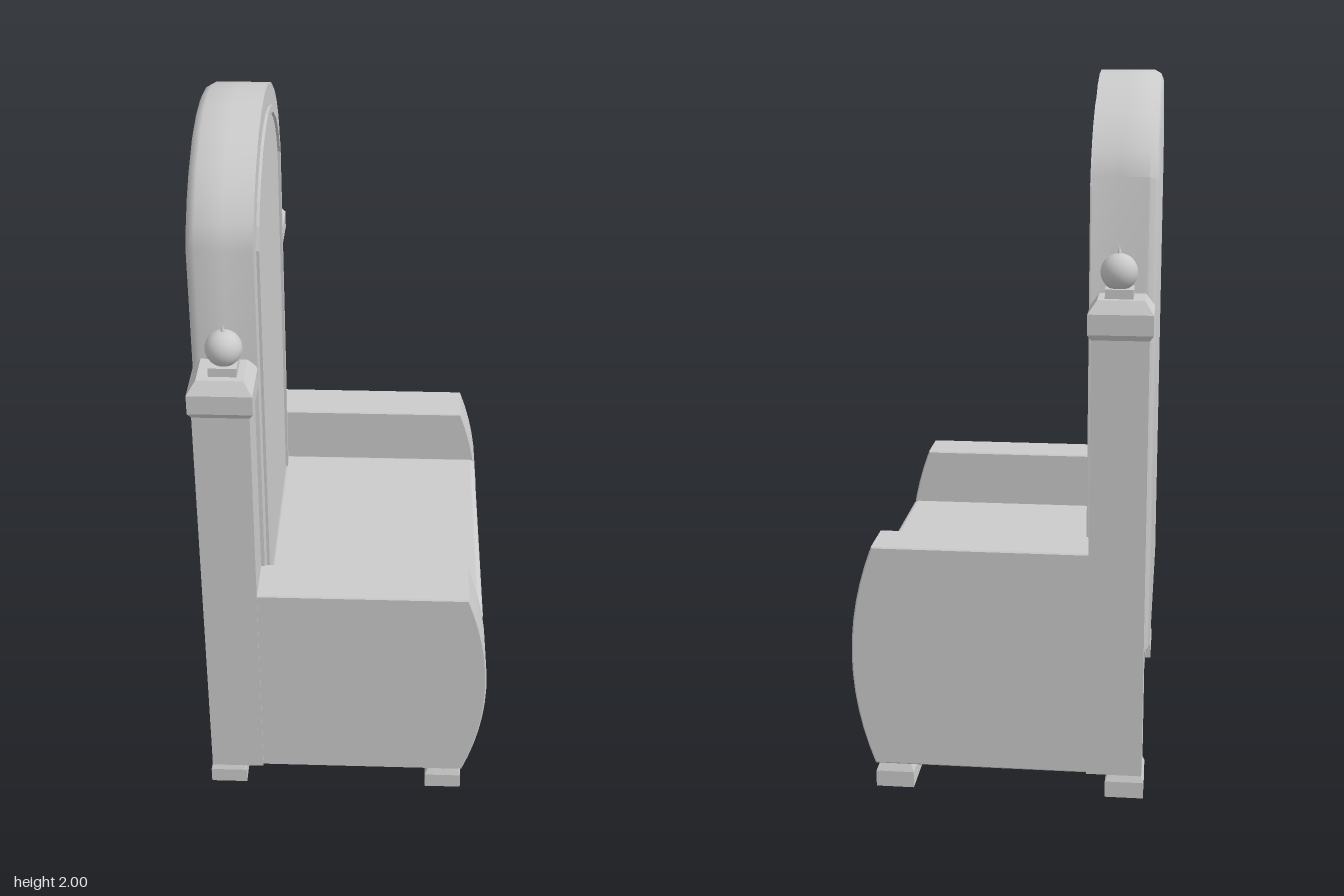
import * as THREE from 'three';
import { RoundedBoxGeometry } from 'three/addons/geometries/RoundedBoxGeometry.js';
import { toCreasedNormals } from 'three/addons/utils/BufferGeometryUtils.js';

const V = (x, y) => new THREE.Vector2(x, y);

// Arched outline: straight sides up to `spring`, then a rounded head
function archPoints(half, bottom, spring, top) {
  const head = [[1, 0], [0.93, 0.24], [0.82, 0.46], [0.69, 0.64], [0.45, 0.86], [0.22, 0.965]];
  const at = (s) => ([u, v]) => V(s * u * half, spring + v * (top - spring));
  return [V(-half, bottom), V(half, bottom), ...head.map(at(1)), V(0, top),
    ...head.map(at(-1)).reverse()];
}

// Extrude a (sideways, y) shape along x, from x0 to x1
function extrudeX(shape, x0, x1, steps = 1) {
  const g = new THREE.ExtrudeGeometry(shape, { depth: x1 - x0, steps, bevelEnabled: false, curveSegments: 10 });
  return g.rotateY(Math.PI / 2).translate(x0, 0, 0);
}

// Box standing on y = 0 whose top is scaled by sx, sz
function taperedBox(w, h, d, sx = 1, sz = 1) {
  const g = new THREE.BoxGeometry(w, h, d).translate(0, h / 2, 0);
  const p = g.attributes.position;
  for (let i = 0; i < p.count; i++) {
    if (p.getY(i) > h / 2) p.setXYZ(i, p.getX(i) * sx, h, p.getZ(i) * sz);
  }
  g.computeVertexNormals();
  return g;
}

export function createModel() {
  const chair = new THREE.Group();
  chair.name = 'throneChair';
  const material = new THREE.MeshStandardMaterial({ color: 0xcccccc });
  const add = (name, geometry, x = 0, y = 0, z = 0) => {
    const mesh = new THREE.Mesh(geometry, material);
    mesh.name = name;
    mesh.position.set(x, y, z);
    chair.add(mesh);
  };

  // Arched backrest, rounded over along its rear edge only
  const back = extrudeX(new THREE.Shape(archPoints(0.44, 0.38, 1.73, 2)), 0, 4, 4);
  const layers = [[-0.42, 0.026], [-0.413, 0.01], [-0.395, 0], [-0.32, 0], [-0.24, 0]];
  const p = back.attributes.position;
  for (let i = 0; i < p.count; i++) {
    const [x, inset] = layers[Math.round(p.getX(i))];
    const y = 1.19 + (p.getY(i) - 1.19) * (1 - inset / 0.81);
    p.setXYZ(i, x, y, p.getZ(i) * (1 - inset / 0.44));
  }
  back.computeVertexNormals();
  add('backrest', toCreasedNormals(back, 0.7));

  // Thin raised moulding on the front of the backrest
  const rim = new THREE.Shape(archPoints(0.372, 0.5, 1.7, 1.94));
  rim.holes.push(new THREE.Path(archPoints(0.352, 0.52, 1.69, 1.92)));
  add('backrestMoulding', extrudeX(rim, -0.245, -0.232));

  // Seat cushion
  add('seat', new RoundedBoxGeometry(0.655, 0.16, 0.85, 3, 0.018), 0.0775, 0.47, 0);

  // Front and rear aprons with a double-scalloped lower edge
  const apron = new THREE.Shape([V(-0.43, 0.4), V(-0.43, 0.07), V(-0.325, 0.07)]);
  apron.splineThru([V(-0.31, 0.16), V(-0.27, 0.21), V(-0.22, 0.248), V(-0.16, 0.26), V(-0.09, 0.24), V(0, 0.165)]);
  apron.splineThru([V(0.09, 0.24), V(0.16, 0.26), V(0.22, 0.248), V(0.27, 0.21), V(0.31, 0.16), V(0.325, 0.07)]);
  apron.lineTo(0.43, 0.07);
  apron.lineTo(0.43, 0.4);
  add('frontApron', toCreasedNormals(extrudeX(apron, 0.19, 0.35), 0.6));
  add('rearApron', toCreasedNormals(extrudeX(apron, -0.4, -0.25), 0.6));

  // Arm side profile with a bulging front
  const arm = new THREE.Shape();
  arm.moveTo(-0.26, 0.07);
  arm.lineTo(0.353, 0.07);
  arm.quadraticCurveTo(0.477, 0.395, 0.353, 0.72);
  arm.lineTo(-0.26, 0.72);
  const armGeometry = toCreasedNormals(new THREE.ExtrudeGeometry(arm, {
    depth: 0.144, curveSegments: 12, bevelThickness: 0.004, bevelSize: 0.004, bevelOffset: -0.004, bevelSegments: 1,
  }).translate(0, 0, -0.072), 0.5);

  for (const [side, s] of [['left', 1], ['right', -1]]) {
    const z = s * 0.514;
    add(side + 'Arm', armGeometry, 0, 0, s * 0.506);

    // Rear post with a chamfered cap and ball finial
    add(side + 'Post', taperedBox(0.155, 1.27, 0.146), -0.328, 0.07, z);
    add(side + 'CapUnderside', taperedBox(0.155, 0.015, 0.146, 1.13, 1.11), -0.328, 1.315, z);
    add(side + 'Cap', taperedBox(0.175, 0.055, 0.162), -0.328, 1.33, z);
    add(side + 'CapTop', taperedBox(0.175, 0.035, 0.162, 0.72, 0.72), -0.328, 1.385, z);
    add(side + 'FinialBase', taperedBox(0.076, 0.025, 0.076), -0.322, 1.42, z);
    add(side + 'FinialBall', new THREE.SphereGeometry(0.05, 20, 14), -0.32, 1.487, z);
    add(side + 'FinialTip', new THREE.ConeGeometry(0.008, 0.03, 8), -0.32, 1.543, z);

    // Stepped feet
    for (const [end, x] of [['Front', 0.297], ['Rear', -0.357]]) {
      add(side + end + 'Foot', taperedBox(0.108, 0.047, 0.146), x, 0, s * 0.51);
      add(side + end + 'FootTop', taperedBox(0.108, 0.025, 0.146, 0.82, 0.85), x, 0.047, s * 0.51);
    }
  }
  return chair;
}
